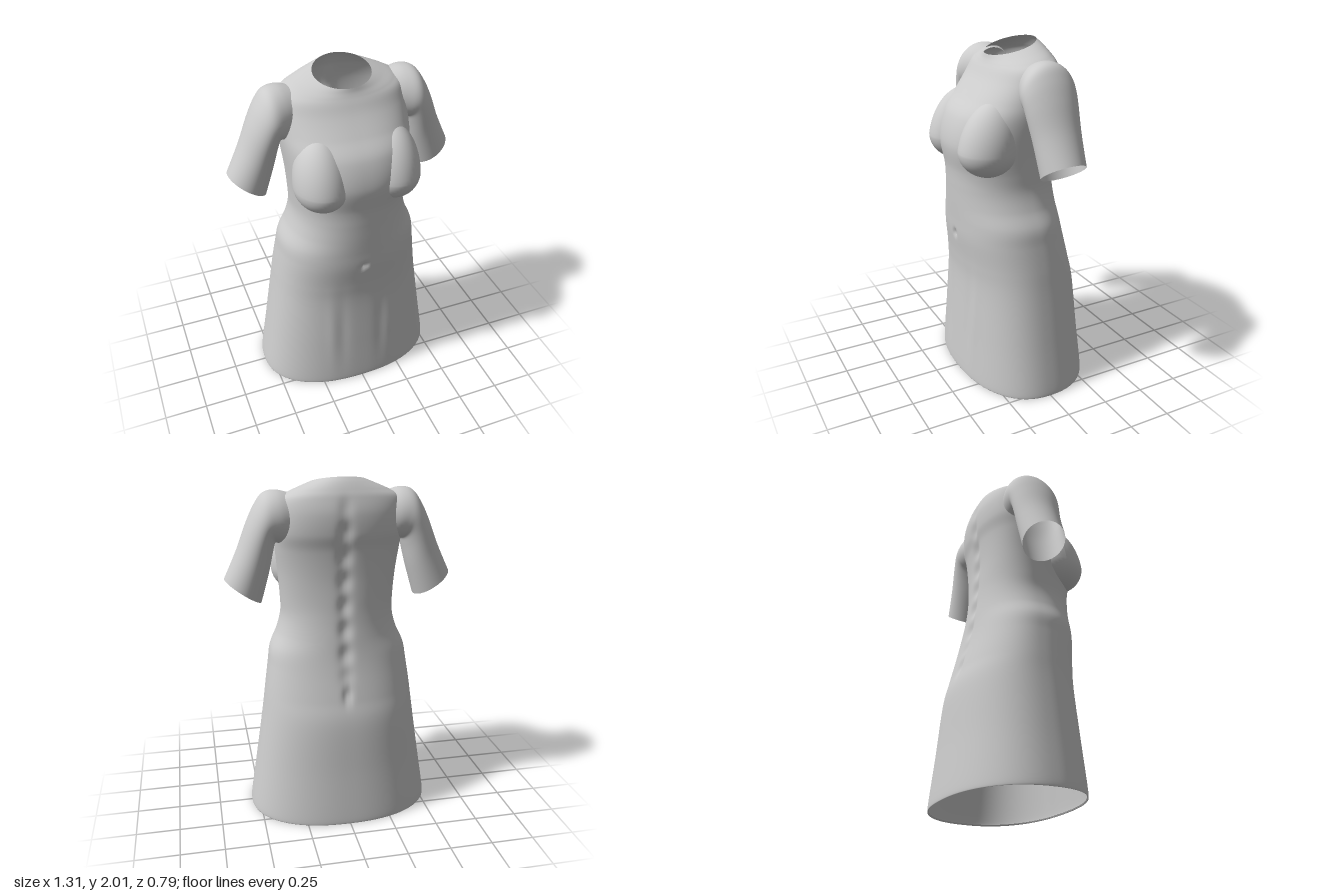
import * as THREE from 'three';

const fabric = new THREE.MeshStandardMaterial({ color: 0xcccccc, side: THREE.DoubleSide });
fabric.name = 'grey fabric';

// Smooth interpolation through a list of stations (arrays of equal length), t in 0..1
function sample(stations, t) {
  const n = stations.length - 1;
  const i = Math.min(Math.floor(t * n), n - 1);
  const f = t * n - i;
  const at = k => stations[Math.max(0, Math.min(n, k))];
  return at(i).map((b, c) => {
    const a = at(i - 1)[c], d = at(i + 1)[c], e = at(i + 2)[c];
    const m0 = (d - a) / 2, m1 = (e - b) / 2;
    const f2 = f * f, f3 = f2 * f;
    return (2 * f3 - 3 * f2 + 1) * b + (f3 - 2 * f2 + f) * m0 + (3 * f2 - 2 * f3) * d + (f3 - f2) * m1;
  });
}

// Open tube skinned over rings; point(t, angle) returns [x, y, z]
function loft(rows, segs, point) {
  const pos = [], idx = [];
  for (let i = 0; i <= rows; i++) {
    for (let j = 0; j < segs; j++) pos.push(...point(i / rows, (j / segs) * Math.PI * 2));
  }
  for (let i = 0; i < rows; i++) {
    for (let j = 0; j < segs; j++) {
      const a = i * segs + j, b = i * segs + (j + 1) % segs;
      idx.push(a, b, b + segs, a, b + segs, a + segs);
    }
  }
  const g = new THREE.BufferGeometry();
  g.setAttribute('position', new THREE.Float32BufferAttribute(pos, 3));
  g.setIndex(idx);
  g.computeVertexNormals();
  return g;
}

const bump = (d, w) => Math.exp(-(d * d) / (w * w));
const power = (v, e) => Math.sign(v) * Math.pow(Math.abs(v), e);

// Dress body: height, half width, front z, back z, z of widest point, squareness, tilt
const BODY = [
  [0.00, 0.540, 0.352, -0.388, 0.00, 2.3, 0],
  [0.02, 0.548, 0.360, -0.395, 0.00, 2.3, 0],
  [0.30, 0.505, 0.345, -0.367, 0.00, 2.3, 0],
  [0.60, 0.460, 0.330, -0.340, 0.00, 2.3, 0],
  [0.75, 0.440, 0.335, -0.305, 0.00, 2.3, 0],
  [0.90, 0.418, 0.350, -0.268, 0.01, 2.3, 0],
  [1.00, 0.402, 0.354, -0.248, 0.02, 2.25, 0],
  [1.10, 0.358, 0.358, -0.234, 0.03, 2.2, 0],
  [1.20, 0.332, 0.361, -0.222, 0.03, 2.2, 0],
  [1.30, 0.332, 0.366, -0.215, 0.03, 2.2, 0],
  [1.45, 0.342, 0.384, -0.210, 0.03, 2.4, 0],
  [1.60, 0.358, 0.345, -0.218, 0.00, 2.4, 0],
  [1.70, 0.365, 0.268, -0.235, -0.03, 2.4, 0],
  [1.80, 0.362, 0.198, -0.236, -0.04, 2.3, 0.04],
  [1.87, 0.345, 0.162, -0.218, -0.04, 2.2, 0.11],
  [1.905, 0.295, 0.146, -0.200, -0.03, 2.1, 0.17],
  [1.935, 0.225, 0.136, -0.178, -0.02, 2.0, 0.24],
  [1.96, 0.160, 0.130, -0.155, -0.012, 2.0, 0.28],
];

function bodyPoint(t, a) {
  const [y, w, front, back, mid, n, tilt] = sample(BODY, t);
  const x = w * power(Math.sin(a), 2 / n);
  const c = power(Math.cos(a), 2 / n);
  let z = mid + c * (c > 0 ? front - mid : mid - back);
  if (c < 0) {
    // spine groove with soft vertebra ripples, and the dimple at its base
    const along = THREE.MathUtils.smoothstep(y, 0.75, 1.0) * (1 - THREE.MathUtils.smoothstep(y, 1.75, 1.92));
    z += bump(x, 0.035) * along * (0.014 + 0.005 * Math.sin(y * 45));
    z += 0.02 * bump(x, 0.02) * bump(y - 0.78, 0.05);
  } else {
    // navel
    z -= 0.02 * bump(x, 0.014) * bump(y - 0.9, 0.022);
    // faint folds down the skirt front
    z += 0.004 * bump(y - 0.4, 0.25) * (bump(Math.abs(x) - 0.19, 0.03) - bump(Math.abs(x) - 0.12, 0.03));
  }
  return [x, y - tilt * (z + 0.012), z];
}

// Sleeve: outer edge x, y; inner edge x, y; front z, back z
const SLEEVE = [
  [0.27, 1.905, 0.25, 1.64, 0.08, -0.16],
  [0.35, 1.925, 0.30, 1.63, 0.105, -0.18],
  [0.42, 1.912, 0.34, 1.63, 0.125, -0.185],
  [0.47, 1.850, 0.362, 1.635, 0.128, -0.185],
  [0.52, 1.750, 0.375, 1.59, 0.120, -0.180],
  [0.58, 1.600, 0.402, 1.47, 0.100, -0.172],
  [0.655, 1.440, 0.450, 1.30, 0.085, -0.166],
];

function sleevePoint(side, t, angle) {
  const a = side * angle;
  const [ox, oy, ix, iy, front, back] = sample(SLEEVE, t);
  const k = (1 + Math.cos(a)) / 2;
  return [
    side * (ix + (ox - ix) * k),
    iy + (oy - iy) * k,
    (front + back) / 2 + Math.sin(a) * (front - back) / 2,
  ];
}

// Bust cup: rounded below, drawn out and leaning back above
function bustGeometry() {
  const g = new THREE.SphereGeometry(1, 48, 36);
  const p = g.attributes.position;
  for (let i = 0; i < p.count; i++) {
    const up = p.getY(i);
    const y = up * (up > 0 ? 0.27 : 0.15);
    p.setXYZ(i, p.getX(i) * 0.155, y, p.getZ(i) * 0.175 - Math.max(0, y) * 0.15);
  }
  g.computeVertexNormals();
  return g;
}

export function createModel() {
  const model = new THREE.Group();
  model.name = 'dress';
  const add = (name, geometry) => {
    const mesh = new THREE.Mesh(geometry, fabric);
    mesh.name = name;
    model.add(mesh);
    return mesh;
  };

  add('dressBody', loft(190, 180, bodyPoint));
  const cup = bustGeometry();
  for (const [side, label] of [[1, 'left'], [-1, 'right']]) {
    add(label + 'Sleeve', loft(40, 56, (t, a) => sleevePoint(side, t, a)));
    add(label + 'Bust', cup).position.set(side * 0.205, 1.44, 0.221);
  }
  return model;
}
